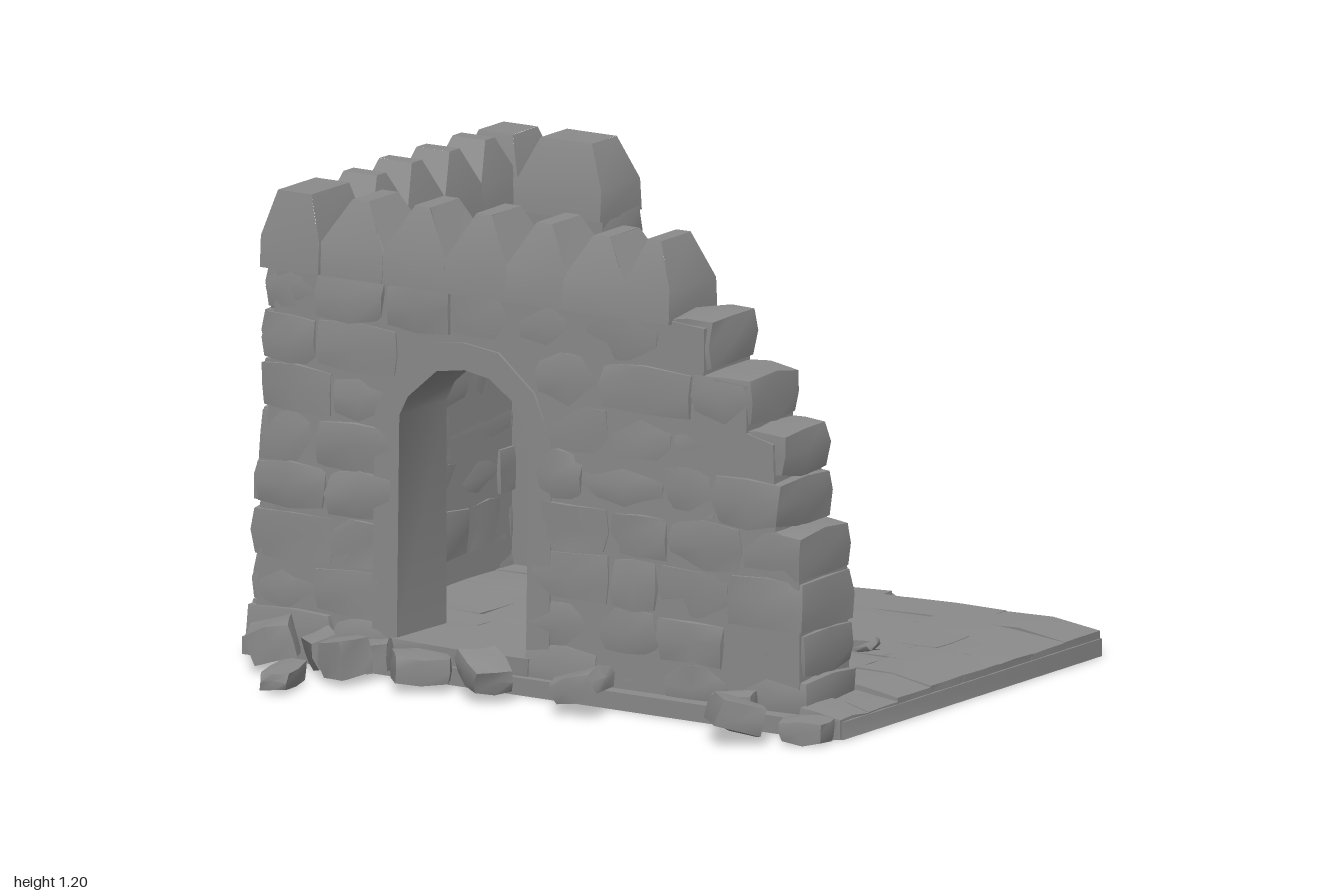
import * as THREE from 'three';
import { mergeGeometries, toCreasedNormals } from 'three/addons/utils/BufferGeometryUtils.js';

// Seeded jitter in the range -1..1
let seed = 7;
function jit(a = 1) {
  seed = (seed * 16807) % 2147483647;
  return ((seed / 2147483647) * 2 - 1) * a;
}

const clamp01 = (v) => Math.min(1, Math.max(0, v));

// Visit and move every vertex by a rule
function warp(geo, rule) {
  const p = geo.attributes.position;
  const v = new THREE.Vector3();
  for (let i = 0; i < p.count; i++) {
    v.fromBufferAttribute(p, i);
    rule(v);
    p.setXYZ(i, v.x, v.y, v.z);
  }
  return geo;
}

// Rough block: corners pushed about, edges pulled in by the pillow amount
function block(w, h, d, rough = 0.008, pillow = 0) {
  const shifts = new Map();
  const side = (a) => (Math.abs(a) < 1e-6 ? 0 : Math.sign(a));
  return warp(new THREE.BoxGeometry(w, h, d, 2, 2, 2), (v) => {
    const s = new THREE.Vector3(side(v.x), side(v.y), side(v.z));
    const key = [s.x, s.y, s.z].join();
    if (!shifts.has(key)) shifts.set(key, new THREE.Vector3(jit(rough), jit(rough), jit(rough)));
    const pull = ((s.lengthSq() - 1) / 2) * pillow;
    v.addScaledVector(s, -pull).add(shifts.get(key));
  }).toNonIndexed();
}

// Outer wall faces lean inwards as they rise
function lean(geo) {
  return warp(geo, (v) => {
    v.x += 0.05 * v.y * clamp01((-0.6 - v.x) / 0.2);
    v.z += 0.05 * v.y * clamp01((-0.45 - v.z) / 0.2);
    v.z -= 0.02 * v.y * clamp01((v.z - 0.24) / 0.22);
  });
}

// One course of stones through the wall, along x or z
function course(from, to, y, h, centre, depth, axis, length = 0.2) {
  const n = Math.max(1, Math.round((to - from) / length));
  const cuts = [from];
  for (let i = 1; i < n; i++) cuts.push(from + ((to - from) * (i + jit(0.25))) / n);
  cuts.push(to);
  const out = [];
  for (let i = 0; i < n; i++) {
    const w = cuts[i + 1] - cuts[i] + 0.008;
    const d = depth + jit(0.014);
    const c = (cuts[i] + cuts[i + 1]) / 2;
    const g = axis === 'x' ? block(w, h + 0.008, d, 0.007, 0.012) : block(d, h + 0.008, w, 0.007, 0.012);
    const off = centre + jit(0.006);
    out.push(axis === 'x' ? g.translate(c, y + h / 2, off) : g.translate(off, y + h / 2, c));
  }
  return out;
}

// Pointed merlon: straight foot, then a taper from the valley to the tip
function merlon(w, d, x, z, axis, tip = 0.25, top = 1.19, valley = 1.075, thin = 0.6) {
  const h = 0.2;
  const peak = top + jit(0.008);
  const g = warp(new THREE.BoxGeometry(w, h, d, 1, 2, 1), (v) => {
    const t = v.y / h + 0.5;
    v.x *= t > 0.9 ? tip : 1;
    v.z *= t > 0.9 ? thin : t > 0.4 ? 0.95 : 1;
    v.x += jit(0.002);
    v.y = t > 0.9 ? peak : t > 0.4 ? valley : 0.99;
  }).toNonIndexed();
  if (axis === 'z') g.rotateY(Math.PI / 2);
  return g.translate(x, 0, z);
}

// Archway outline, grown by g
function archPoints(g = 0) {
  return [
    [-0.35 - g, 0.08], [-0.35 - g, 0.66], [-0.325 - g * 0.8, 0.71 + g * 0.4], [-0.24 - g * 0.4, 0.785 + g],
    [-0.155, 0.798 + g], [-0.08 + g * 0.4, 0.785 + g], [0.0 + g * 0.8, 0.73 + g * 0.5], [0.04 + g, 0.64], [0.04 + g, 0.08],
  ].map(([x, y]) => new THREE.Vector2(x, y));
}

function extrude(shape, depth, z) {
  return new THREE.ExtrudeGeometry(shape, { depth, bevelEnabled: false }).translate(0, 0, z);
}

const plain = (g) => {
  const n = g.index ? g.toNonIndexed() : g;
  n.deleteAttribute('uv');
  return n;
};

export function createModel() {
  seed = 7;
  const root = new THREE.Group();
  root.name = 'ruinedCastle';
  const stone = new THREE.MeshStandardMaterial({ color: 0x8a8a8a });
  stone.name = 'grey stone';

  function add(name, geos, crease = 0.8) {
    const mesh = new THREE.Mesh(toCreasedNormals(mergeGeometries(geos.map(plain)), crease), stone);
    mesh.name = name;
    root.add(mesh);
  }

  // Ground slab, with its broken outline
  const outline = [
    [-1, -0.83], [0.28, -0.83], [0.45, -0.7], [1, -0.69], [1, 0.47], [0.96, 0.51],
    [-0.8, 0.48], [-0.85, -0.3], [-0.87, -0.58], [-1, -0.68],
  ].map(([x, z]) => new THREE.Vector2(x, -z));
  const slab = new THREE.ExtrudeGeometry(new THREE.Shape(outline), { depth: 0.045, bevelEnabled: false });
  add('groundSlab', [slab.rotateX(-Math.PI / 2)]);

  // Paving: staggered rows of low flagstones, sinking at the open edge
  const flags = [];
  for (let r = 0; r < 6; r++) {
    const z = -0.61 + r * 0.152;
    let x = -0.62;
    while (x < 0.97) {
      let w = 0.27 + jit(0.07);
      if (x + w > 0.88) w = 0.995 - x;
      flags.push(block(w, 0.05, 0.154, 0.002).translate(x + w / 2, 0.056 + jit(0.002), z));
      x += w;
    }
  }
  for (let i = 0; i < 2; i++) flags.push(block(0.12, 0.05, 0.13, 0.004).translate(0.935, 0.045, 0.29 + i * 0.13));
  const sunk = flags.map((g) => warp(g, (v) => { v.y -= 0.02 * clamp01((v.x - 0.9) / 0.1); }));
  for (let i = 0; i < 5; i++) {
    sunk.push(block(0.225, 0.045, 0.13, 0.004).translate(-0.73 + i * 0.225, 0.032, -0.755));
  }
  add('paving', sunk);
  add('doorSill', [block(0.42, 0.06, 0.26, 0.004).translate(-0.155, 0.062, 0.345)]);

  // Front wall core: stepped ruin outline with the archway cut out
  const core = new THREE.Shape([
    [-0.78, 0.02], [0.86, 0.02], [0.85, 0.48], [0.78, 0.5], [0.77, 0.72], [0.69, 0.74], [0.69, 0.86],
    [0.56, 0.87], [0.56, 0.99], [0.44, 1.0], [0.42, 1.06], [-0.76, 1.06],
  ].map(([x, y]) => new THREE.Vector2(x, y)));
  core.holes.push(new THREE.Path(archPoints()));
  add('frontWallCore', [lean(extrude(core, 0.225, 0.235))]);

  // Arch surround
  const ring = new THREE.Shape(archPoints(0.07));
  ring.holes.push(new THREE.Path(archPoints(0.002)));
  add('archSurround', [lean(extrude(ring, 0.238, 0.229))]);

  // Front wall courses: base height, height, right end, archway gap
  const rows = [
    [0.02, 0.11, 0.88, -0.36, 0.04], [0.13, 0.12, 0.87, -0.36, 0.04], [0.25, 0.13, 0.87, -0.36, 0.05],
    [0.38, 0.12, 0.86, -0.36, 0.05], [0.5, 0.13, 0.8, -0.36, 0.05], [0.63, 0.12, 0.8, -0.4, 0.09],
    [0.75, 0.13, 0.71, -0.36, 0.06], [0.88, 0.13, 0.58],
  ];
  const front = [];
  for (const [y, h, end, g0, g1] of rows) {
    if (g0 === undefined) front.push(...course(-0.8, end, y, h, 0.347, 0.247, 'x'));
    else front.push(...course(-0.8, g0, y, h, 0.347, 0.247, 'x'), ...course(g1, end, y, h, 0.347, 0.247, 'x'));
  }
  add('frontWallStones', front.map(lean));

  // Left-hand side wall
  const side = [new THREE.BoxGeometry(0.175, 1.04, 1.05).translate(-0.7, 0.54, -0.1)];
  for (let i = 0; i < 8; i++) {
    side.push(...course(-0.66, 0.46, 0.02 + i * 0.124, 0.124, -0.703, 0.2, 'z', 0.23));
  }
  add('sideWall', side.map(lean));

  // Back return wall stub
  const stub = [new THREE.BoxGeometry(0.44, 1.04, 0.205).translate(-0.56, 0.54, -0.555)];
  for (let i = 0; i < 6; i++) stub.push(...course(-0.8, -0.335, 0.02 + i * 0.166, 0.166, -0.558, 0.23, 'x', 0.24));
  add('backWallStub', stub.map(lean));

  // Merlons along the wall tops
  const teeth = [];
  for (const x of [-0.49, -0.305, -0.12, 0.06, 0.235]) teeth.push(merlon(0.185, 0.22, x, 0.345, 'x'));
  teeth.push(merlon(0.14, 0.22, 0.392, 0.345, 'x', 0.3));
  for (const z of [0.11, -0.05, -0.22, -0.38]) teeth.push(merlon(0.17, 0.165, -0.678, z, 'z', 0.25, 1.18));
  teeth.push(merlon(0.175, 0.225, -0.675, 0.345, 'x', 0.58, 1.19, 1.07, 0.75));
  teeth.push(merlon(0.175, 0.19, -0.675, -0.53, 'x', 0.58, 1.175, 1.07, 0.6));
  teeth.push(merlon(0.25, 0.19, -0.462, -0.53, 'x', 0.6, 1.175, 1.07, 0.6));
  add('merlons', teeth, 0.5);

  // Fallen stones: x, y, z, width, height, depth, turn, tilt
  const rubble = [
    [-0.65, 0.07, 0.57, 0.12, 0.1, 0.13, 0.5, 0.25], [-0.51, 0.06, 0.55, 0.08, 0.09, 0.1, 0.8, 0.3],
    [-0.41, 0.06, 0.6, 0.09, 0.1, 0.12, -0.2, 0.15], [-0.21, 0.055, 0.56, 0.15, 0.07, 0.13, 0.7, -0.1],
    [-0.01, 0.07, 0.575, 0.14, 0.07, 0.11, -0.6, -0.3], [0.28, 0.07, 0.57, 0.13, 0.07, 0.13, 0.1, 0.35],
    [0.79, 0.07, 0.64, 0.13, 0.08, 0.12, 0.8, -0.3], [0.7, 0.055, 0.51, 0.11, 0.08, 0.1, 0.4, 0.1],
    [0.93, 0.03, 0.53, 0.12, 0.06, 0.14, 0.3, 0], [-0.5, 0.03, 0.74, 0.08, 0.055, 0.17, 0.25, 0],
    [-0.4, 0.05, 0.5, 0.12, 0.08, 0.1, 0.3, 0.1], [-0.91, 0.11, -0.38, 0.07, 0.19, 0.14, -0.15, -0.45],
    [-0.93, 0.03, -0.74, 0.13, 0.055, 0.15, 0, 0], [-0.93, 0.06, -0.56, 0.09, 0.07, 0.1, 0.6, 0.4],
    [-0.87, 0.07, -0.6, 0.1, 0.1, 0.12, 0.9, -0.3], [-0.87, 0.06, -0.5, 0.09, 0.08, 0.11, 0.3, 0.3],
    [-0.43, 0.075, -0.77, 0.1, 0.05, 0.11, 0.3, 0.4], [0.65, 0.09, -0.11, 0.13, 0.04, 0.05, -0.1, 0.2],
  ];
  add('rubble', rubble.map(([x, y, z, w, h, d, turn, tilt]) => {
    const g = block(w, h, d, 0.006, 0.006).rotateZ(tilt).rotateY(turn).translate(x, y, z);
    return warp(g, (v) => { v.y = Math.max(0, v.y); v.x = Math.max(-1, Math.min(1, v.x)); });
  }));

  return root;
}
